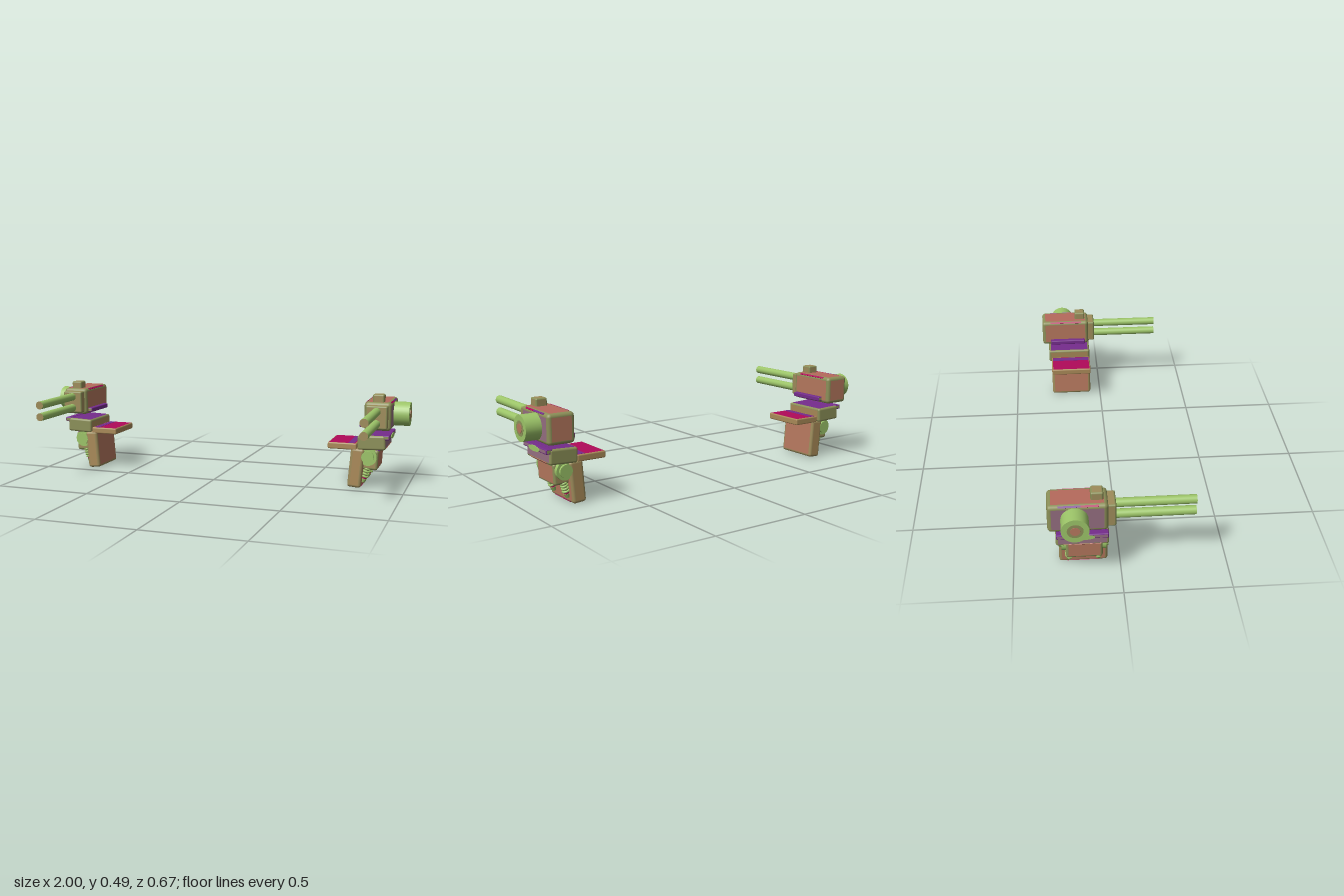
import * as THREE from 'three';
import { RoundedBoxGeometry } from 'three/addons/geometries/RoundedBoxGeometry.js';

const mat = (name, color) => new THREE.MeshStandardMaterial({ name, color });

export function createModel() {
  const green = mat('green', 0x9cc468);
  const olive = mat('olive', 0x8c9058);
  const khaki = mat('khaki', 0x9e8c5a);
  const tan = mat('tan', 0xaa8a58);
  const brown = mat('brown', 0xb6785e);
  const salmon = mat('salmon', 0xb66a5c);
  const mauve = mat('mauve', 0x946e80);
  const purple = mat('purple', 0x752c8c);
  const magenta = mat('magenta', 0xb00a5a);

  // Softened box: flat faces take their own colour, rounded edges take the edge colour
  function softBox(name, size, r, faces, edge, s) {
    const geo = new RoundedBoxGeometry(...size, 2, r);
    const n = geo.attributes.normal;
    const perSide = n.count / 6;
    const flat = (i) => Math.max(Math.abs(n.getX(i)), Math.abs(n.getY(i)), Math.abs(n.getZ(i))) > 0.999;
    geo.clearGroups();
    let start = 0, last = -1;
    for (let i = 0; i <= n.count; i += 3) {
      const m = i === n.count ? -2
        : flat(i) && flat(i + 1) && flat(i + 2) ? Math.floor(i / perSide) : 6;
      if (m !== last) {
        if (last >= 0) geo.addGroup(start, i - start, last);
        start = i;
        last = m;
      }
    }
    // faces: outer, inner, top, bottom, front, back
    const [o, inn, t, b, f, k] = faces;
    const mesh = new THREE.Mesh(geo, s > 0 ? [o, inn, t, b, f, k, edge] : [inn, o, t, b, f, k, edge]);
    mesh.name = name;
    return mesh;
  }

  function turret(s) {
    const g = new THREE.Group();
    g.name = s > 0 ? 'leftTurret' : 'rightTurret';
    const place = (mesh, x, y, z, tilt = 0) => {
      mesh.position.set(x * s, y, z);
      mesh.rotation.z += tilt * s;
      g.add(mesh);
      return mesh;
    };
    const box = (name, size, r, faces, edge, x, y, z, tilt) =>
      place(softBox(name, size, r, faces, edge, s), x, y, z, tilt);
    const all = (m) => [m, m, m, m, m, m];
    // Thin painted strip running along z
    const strip = (name, width, len, m, x, y, z, tilt) => {
      const mesh = new THREE.Mesh(new THREE.BoxGeometry(width, 0.003, len), m);
      mesh.name = name;
      place(mesh, x, y, z, tilt);
    };
    // Cylinder lying along the x, y or z axis
    const rod = (name, r, len, axis, m, x, y, z) => {
      const geo = new THREE.CylinderGeometry(r, r, len, 32);
      if (axis === 'x') geo.rotateZ(-Math.PI / 2 * s);
      if (axis === 'z') geo.rotateX(Math.PI / 2);
      const mesh = new THREE.Mesh(geo, m);
      mesh.name = name;
      return place(mesh, x, y, z);
    };
    const bevel = Math.PI / 4;

    // Gun housing, front plate and sight
    box('gunHousing', [0.136, 0.145, 0.27], 0.018,
      [mauve, brown, salmon, purple, khaki, brown], olive, 0.85, 0.377, -0.198);
    box('frontPlate', [0.11, 0.118, 0.05], 0.008, all(khaki), olive, 0.85, 0.377, -0.053);
    box('sight', [0.058, 0.06, 0.057], 0.008, all(khaki), olive, 0.85, 0.457, -0.112);
    box('sideTab', [0.035, 0.024, 0.2], 0.005,
      [purple, purple, purple, purple, olive, olive], purple, 0.775, 0.328, -0.185);

    // Painted streaks on the upper housing edges
    strip('outerStreakFront', 0.009, 0.08, magenta, 0.9127, 0.4442, -0.145, -bevel);
    strip('outerStreakBack', 0.009, 0.1, purple, 0.9127, 0.4442, -0.235, -bevel);
    strip('innerStreak', 0.01, 0.18, magenta, 0.7873, 0.4442, -0.195, bevel);

    // Twin barrels
    for (const y of [0.345, 0.407]) {
      rod('barrel', 0.021, 0.37, 'z', [green, khaki, khaki], 0.85, y, 0.148);
    }

    // Outer drum with its cap inlays
    rod('drum', 0.062, 0.09, 'x', green, 0.952, 0.377, -0.213);
    rod('drumInlay', 0.036, 0.003, 'x', olive, 0.9965, 0.377, -0.213);
    rod('drumCentre', 0.022, 0.004, 'x', brown, 0.998, 0.377, -0.213);

    // Turret mount with raised outer lip and round seat
    box('mount', [0.142, 0.074, 0.24], 0.011,
      [mauve, tan, purple, purple, olive, olive], olive, 0.824, 0.241, -0.179, 0.04);
    box('mountLip', [0.034, 0.024, 0.235], 0.005,
      [mauve, purple, purple, mauve, olive, olive], purple, 0.897, 0.271, -0.179);
    strip('mountStreak', 0.012, 0.17, salmon, 0.8922, 0.2105, -0.179, bevel);
    const seat = rod('mountSeat', 0.055, 0.028, 'x', green, 0.903, 0.268, -0.178);
    seat.scale.y = 0.24;

    // Inner shelf and its painted strip
    box('shelf', [0.15, 0.034, 0.226], 0.007,
      [tan, tan, magenta, magenta, tan, tan], tan, 0.675, 0.217, -0.173);
    strip('shelfStrip', 0.032, 0.21, purple, 0.722, 0.2335, -0.173);

    // Leaning leg plate with a streak along its lower outer edge
    box('leg', [0.07, 0.205, 0.228], 0.014,
      [brown, brown, brown, tan, tan, tan], khaki, 0.748, 0.106, -0.172, -0.08);
    strip('legStreak', 0.009, 0.15, magenta, 0.771, 0.0055, -0.172, bevel - 0.08);

    // Pivot drum and hub block
    rod('pivot', 0.045, 0.205, 'z', green, 0.808, 0.165, -0.172);
    rod('pivotCap', 0.032, 0.228, 'z', green, 0.808, 0.165, -0.172);
    rod('pivotNeck', 0.04, 0.05, 'y', green, 0.808, 0.2, -0.172);
    box('hub', [0.08, 0.105, 0.17], 0.012,
      [brown, tan, purple, brown, khaki, khaki], olive, 0.817, 0.148, -0.17, -0.05);
    strip('hubStreak', 0.01, 0.14, purple, 0.856, 0.1955, -0.17, -bevel - 0.05);

    // Pair of coiled dampers slanting down the leg
    for (const z of [-0.102, -0.239]) {
      const damper = new THREE.Group();
      damper.name = 'damper';
      const piece = (name, r1, r2, len, m, y) => {
        const mesh = new THREE.Mesh(new THREE.CylinderGeometry(r1, r2, len, 16), m);
        mesh.name = name;
        mesh.position.y = y;
        damper.add(mesh);
      };
      piece('damperCore', 0.012, 0.012, 0.07, olive, 0.01);
      piece('damperBand', 0.013, 0.013, 0.008, magenta, -0.023);
      piece('damperFoot', 0.016, 0.011, 0.02, green, -0.037);
      for (let i = 0; i < 4; i++) {
        const ring = new THREE.Mesh(new THREE.TorusGeometry(0.015, 0.0055, 8, 20), green);
        ring.name = 'damperCoil';
        ring.rotation.x = Math.PI / 2;
        ring.position.y = 0.028 - i * 0.014;
        damper.add(ring);
      }
      place(damper, 0.794, 0.073, z, -0.3);
    }
    return g;
  }

  const model = new THREE.Group();
  model.name = 'twinTurrets';
  model.add(turret(1), turret(-1));
  return model;
}
